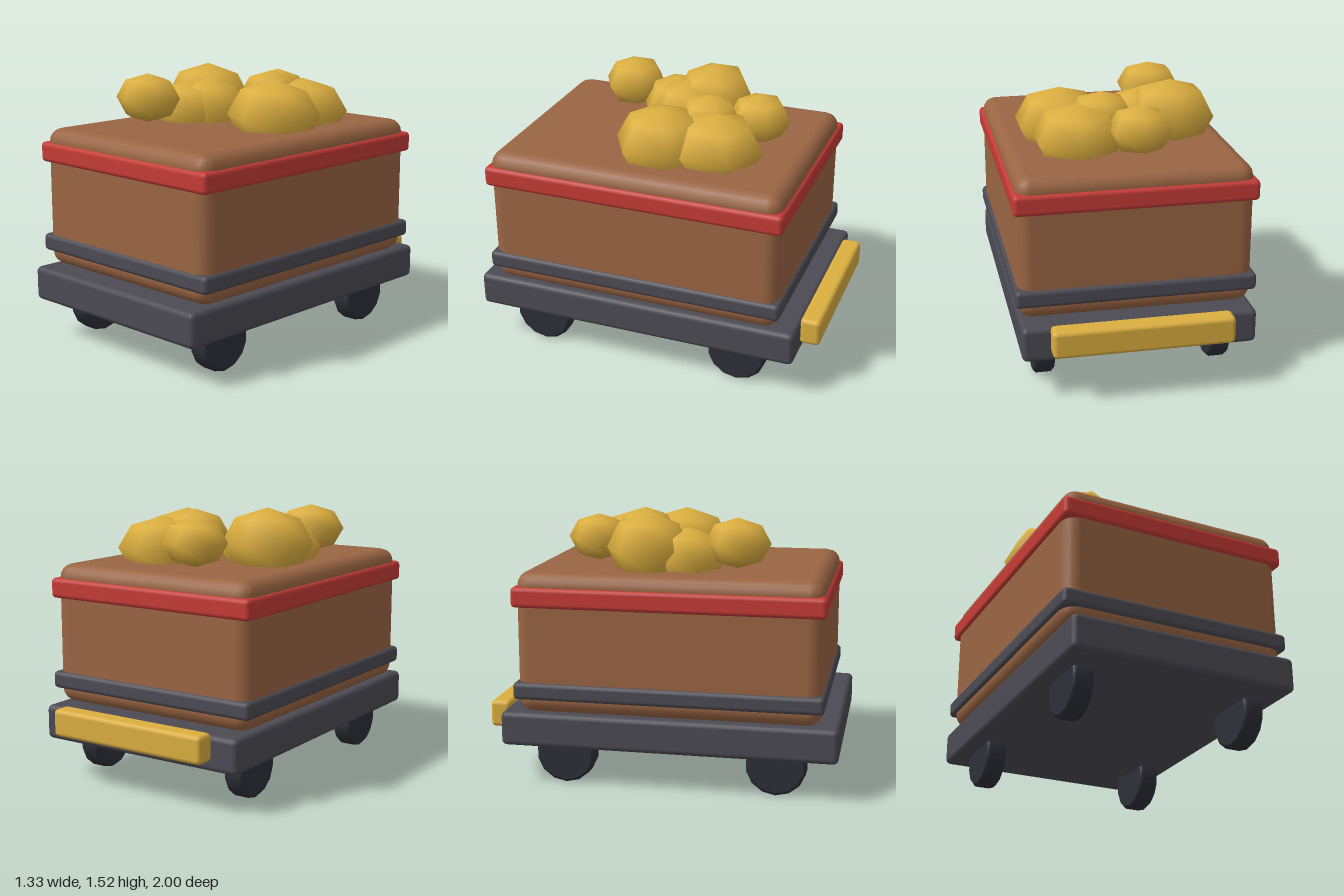
import * as THREE from 'three';
import { RoundedBoxGeometry } from 'three/addons/geometries/RoundedBoxGeometry.js';

function material(name, color) {
  const m = new THREE.MeshStandardMaterial({ color });
  m.name = name;
  return m;
}

export function createModel() {
  const group = new THREE.Group();
  group.name = 'oreCart';

  const wood = material('brown', 0x9a6543);
  const red = material('red', 0xc53b36);
  const iron = material('iron grey', 0x4c4a53);
  const tyre = material('wheel black', 0x2e2f38);
  const gold = material('gold', 0xdbae3f);

  function add(name, geometry, mat, x, y, z) {
    const mesh = new THREE.Mesh(geometry, mat);
    mesh.name = name;
    mesh.position.set(x, y, z);
    group.add(mesh);
    return mesh;
  }

  // Rounded block given by half width and its y and z ranges
  function block(name, mat, halfX, y0, y1, z0, z1, radius) {
    const geometry = new RoundedBoxGeometry(2 * halfX, y1 - y0, z1 - z0, 2, radius);
    return add(name, geometry, mat, 0, (y0 + y1) / 2, (z0 + z1) / 2);
  }

  // Chassis, load box, its bands and the rear bumper
  block('chassis', iron, 0.645, 0.225, 0.42, -0.89, 1.0, 0.03);
  block('loadBox', wood, 0.645, 0.42, 1.215, -0.79, 0.905, 0.08);
  block('lowerBand', iron, 0.663, 0.5, 0.598, -0.808, 0.92, 0.025);
  block('upperBand', red, 0.663, 1.02, 1.135, -0.808, 0.92, 0.025);
  block('bumper', gold, 0.495, 0.285, 0.44, -1.0, -0.885, 0.025);

  // Wheels: bevelled discs turned around the x axis
  const r = 0.17, h = 0.057, b = 0.015;
  const profile = [
    [0, -h], [r - b - 0.002, -h], [r - b, -h], [r, b - h],
    [r, h - b], [r - b, h], [r - b - 0.002, h], [0, h],
  ].map(([x, y]) => new THREE.Vector2(x, y));
  const wheel = new THREE.LatheGeometry(profile, 14).rotateZ(Math.PI / 2).rotateX(Math.PI / 2);
  for (const [end, z] of [['front', 0.655], ['rear', -0.54]]) {
    for (const [side, x] of [['Left', 0.498], ['Right', -0.498]]) {
      add(end + side + 'Wheel', wheel, tyre, x, 0.17, z);
    }
  }

  // Nuggets: squashed six-sided spheres, as centre x, y, z and radii x, y, z
  const nugget = new THREE.SphereGeometry(1, 6, 4).rotateY(Math.PI / 6);
  const nuggets = [
    [-0.33, 1.325, -0.1, 0.266, 0.2, 0.24],
    [0.29, 1.285, 0.0, 0.274, 0.2, 0.265],
    [0.24, 1.28, -0.305, 0.266, 0.185, 0.265],
    [-0.2, 1.28, 0.02, 0.226, 0.18, 0.22],
    [-0.285, 1.275, 0.12, 0.235, 0.165, 0.21],
    [-0.32, 1.365, 0.4, 0.196, 0.14, 0.185],
    [0.085, 1.365, -0.21, 0.19, 0.14, 0.185],
    [-0.08, 1.345, -0.45, 0.185, 0.135, 0.18],
  ];
  nuggets.forEach(([x, y, z, rx, ry, rz], i) => {
    add('nugget' + (i + 1), nugget, gold, x, y, z).scale.set(rx, ry, rz);
  });

  return group;
}
